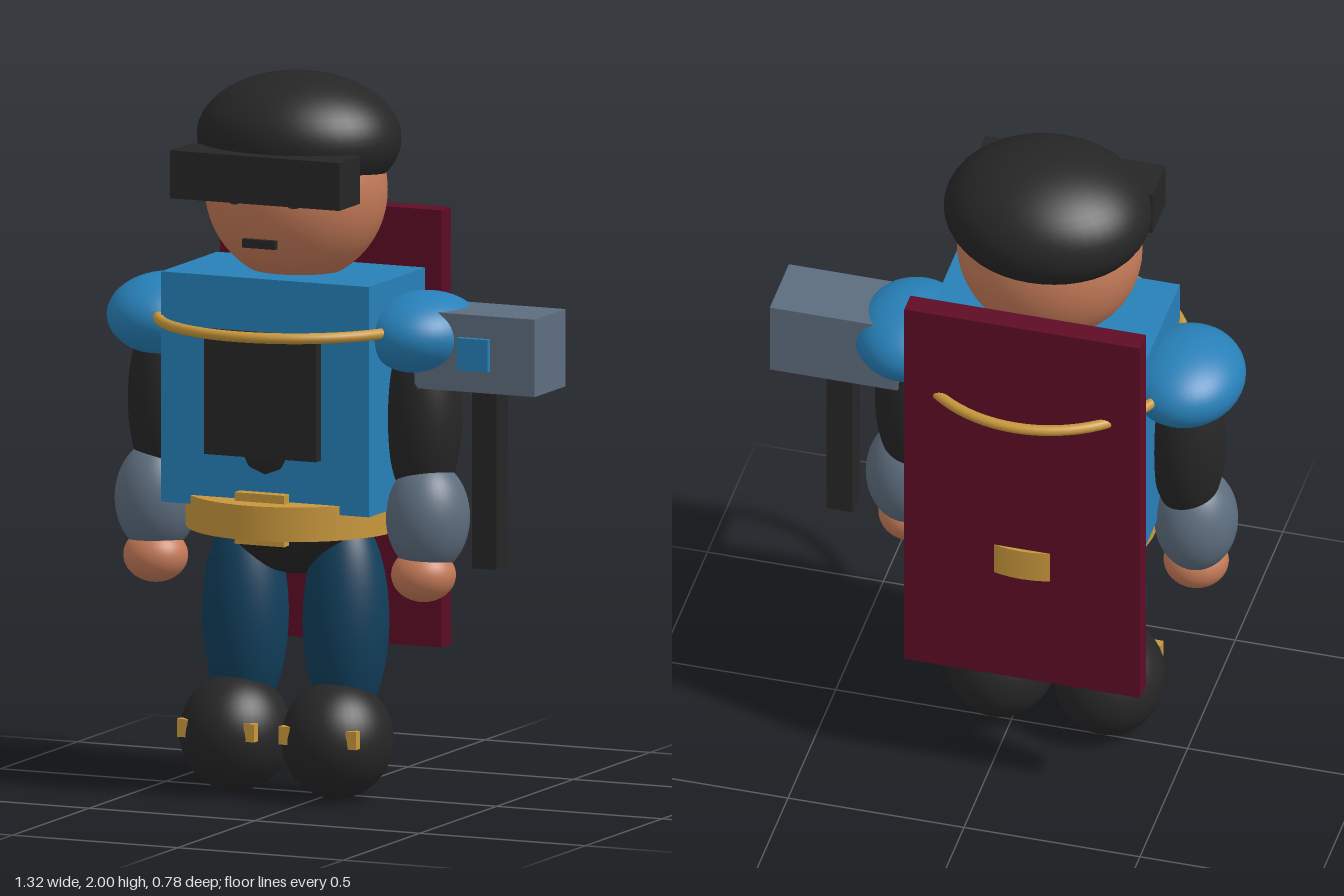
import * as THREE from 'three';

const mat = (name, color) => {
  const m = new THREE.MeshStandardMaterial({ color });
  m.name = name;
  return m;
};

export function createModel() {
  const blue = mat('armour blue', 0x2780b8);
  const navy = mat('trouser navy', 0x113f5c);
  const black = mat('black', 0x262626);
  const slate = mat('slate grey', 0x5d6d7e);
  const skin = mat('skin', 0xc47a58);
  const gold = mat('gold', 0xc8973c);
  const maroon = mat('maroon', 0x5e0c26);
  const eyeBlue = mat('eye blue', 0x2c3e50);

  const model = new THREE.Group();
  model.name = 'armouredFigure';

  // the body stands off centre; the gun reaches out to its left
  const body = new THREE.Group();
  body.name = 'body';
  body.position.x = -0.11;
  model.add(body);

  const add = (parent, name, geometry, material, x, y, z) => {
    const mesh = new THREE.Mesh(geometry, material);
    mesh.name = name;
    mesh.position.set(x, y, z);
    parent.add(mesh);
    return mesh;
  };
  const box = (parent, name, material, [w, h, d], x, y, z) =>
    add(parent, name, new THREE.BoxGeometry(w, h, d), material, x, y, z);
  const ball = (parent, name, material, [rx, ry, rz], x, y, z) =>
    add(parent, name, new THREE.SphereGeometry(1, 40, 28).scale(rx, ry, rz), material, x, y, z);

  // head
  ball(body, 'head', skin, [0.257, 0.26, 0.226], 0, 1.68, -0.008);
  ball(body, 'cap', black, [0.288, 0.18, 0.248], 0, 1.82, -0.027);
  box(body, 'visor', black, [0.512, 0.133, 0.135], 0, 1.739, 0.195);
  box(body, 'mouth', black, [0.1, 0.024, 0.016], 0, 1.558, 0.23);

  // trunk
  box(body, 'torso', blue, [0.63, 0.64, 0.365], 0, 1.135, 0.013);
  ball(body, 'innerBody', black, [0.3, 0.42, 0.204], 0, 1.03, 0);
  box(body, 'chestPlate', black, [0.34, 0.345, 0.06], 0, 1.135, 0.198);
  add(body, 'belt', new THREE.CylinderGeometry(0.302, 0.302, 0.096, 64), gold, 0, 0.792, -0.005);
  box(body, 'buckle', gold, [0.15, 0.143, 0.034], 0, 0.792, 0.216);
  add(body, 'collarRing', new THREE.TorusGeometry(0.375, 0.015, 14, 80).rotateX(Math.PI / 2),
    gold, 0, 1.322, 0);
  box(body, 'backPanel', maroon, [0.67, 1.215, 0.064], 0, 0.998, -0.264);

  // paired parts
  for (const [side, s] of [['left', 1], ['right', -1]]) {
    const part = (n) => side + n;
    ball(body, part('Eye'), eyeBlue, [0.03, 0.03, 0.03], s * 0.088, 1.686, 0.195);
    ball(body, part('Shoulder'), blue, [0.16, 0.114, 0.187], s * 0.39, 1.305, -0.005);
    ball(body, part('UpperArm'), black, [0.105, 0.26, 0.105], s * 0.39, 1.07, 0);
    ball(body, part('Forearm'), slate, [0.115, 0.156, 0.119], s * 0.41, 0.796, 0.017);
    ball(body, part('Hand'), skin, [0.09, 0.075, 0.085], s * 0.405, 0.638, 0.035);
    ball(body, part('Leg'), navy, [0.119, 0.3, 0.12], s * 0.152, 0.49, -0.005);
    ball(body, part('Boot'), black, [0.153, 0.163, 0.163], s * 0.154, 0.166, 0.055);
    for (const e of [-1, 1])
      box(body, part('BootClasp'), gold, [0.032, 0.05, 0.026], s * 0.154 + e * 0.101, 0.188, 0.173);
  }

  // shoulder gun
  const gun = new THREE.Group();
  gun.name = 'gun';
  model.add(gun);
  box(gun, 'gunBody', slate, [0.363, 0.215, 0.2], 0.477, 1.273, -0.006);
  box(gun, 'gunGrip', black, [0.074, 0.58, 0.074], 0.477, 0.955, -0.006);
  box(gun, 'gunPanel', blue, [0.094, 0.09, 0.02], 0.477, 1.272, 0.102);

  return model;
}
